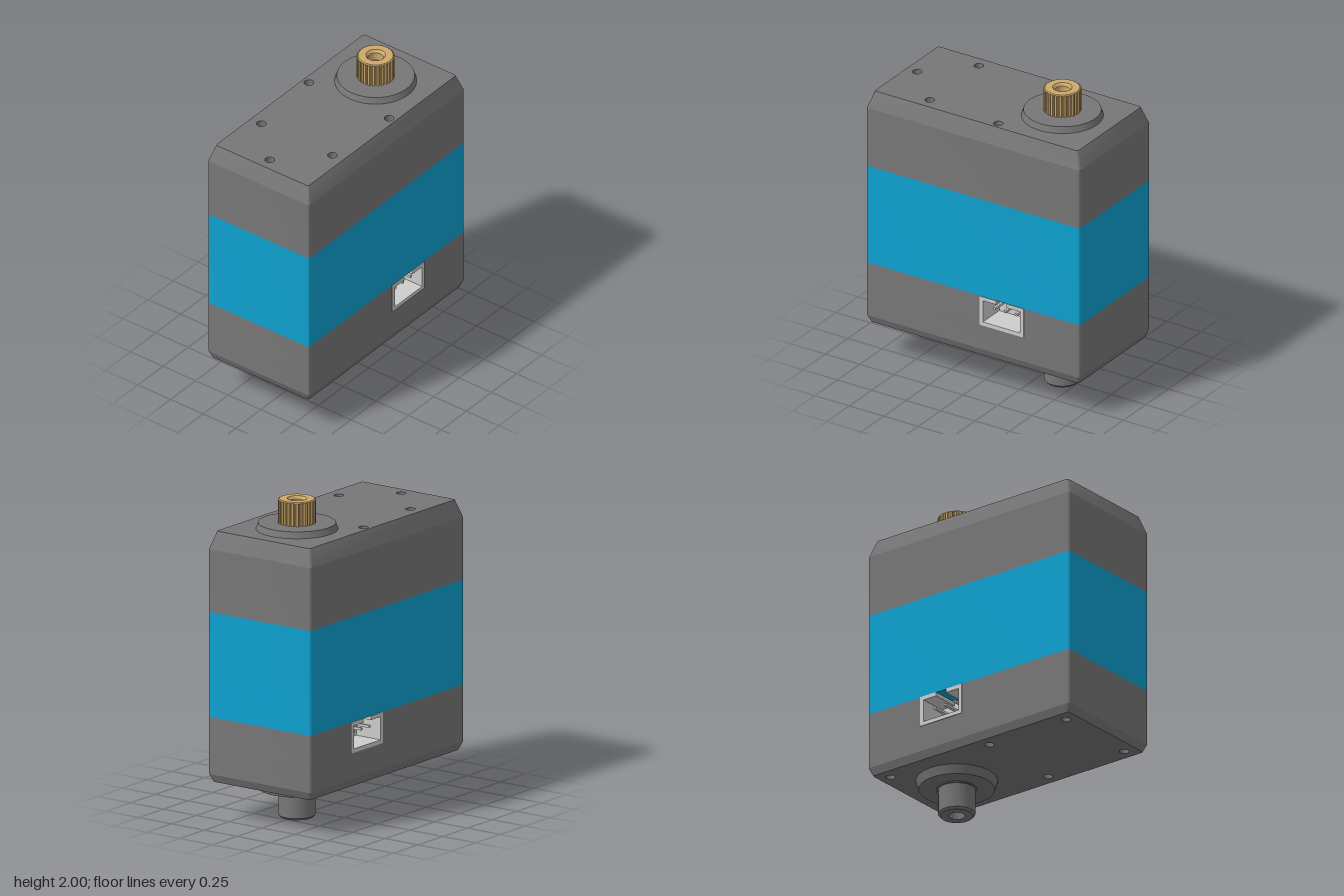
import * as THREE from 'three';
import { toCreasedNormals } from 'three/addons/utils/BufferGeometryUtils.js';

const W = 0.775, D = 0.39, R = 0.015;       // half width, half depth, corner radius
const SHAFT_X = 0.395;
const SOCKET = { x0: 0.05, x1: 0.37, y0: 0.45, y1: 0.645, depth: 0.2 };

const mat = (name, color) => {
  const m = new THREE.MeshStandardMaterial({ color });
  m.name = name;
  return m;
};

// Rounded rectangle plan, optionally with pockets for the sockets front and back
function plan(w, d, pockets = false) {
  const s = new THREE.Shape();
  const { x0, x1, depth } = SOCKET;
  const pocket = (a, b, edge, inner) => {
    s.lineTo(a, edge); s.lineTo(a, inner); s.lineTo(b, inner); s.lineTo(b, edge);
  };
  s.moveTo(-w + R, -d);
  if (pockets) pocket(x0, x1, -d, -d + depth);
  s.absarc(w - R, -d + R, R, -Math.PI / 2, 0);
  s.absarc(w - R, d - R, R, 0, Math.PI / 2);
  if (pockets) pocket(x1, x0, d, d - depth);
  s.absarc(-w + R, d - R, R, Math.PI / 2, Math.PI);
  s.absarc(-w + R, -d + R, R, Math.PI, Math.PI * 1.5);
  return s;
}

// Vertical prism between two heights
function prism(shape, y0, y1) {
  const g = new THREE.ExtrudeGeometry(shape, { depth: y1 - y0, bevelEnabled: false, curveSegments: 4 });
  g.rotateX(-Math.PI / 2).translate(0, y0, 0);
  return toCreasedNormals(g, 0.6);
}

// Sloping band between two plans
function band(lower, y0, upper, y1) {
  const a = lower.getPoints(4), b = upper.getPoints(4), pos = [];
  const put = (p, y) => pos.push(p.x, y, -p.y);
  for (let i = 0; i < a.length; i++) {
    const j = (i + 1) % a.length;
    put(a[i], y0); put(a[j], y0); put(b[j], y1);
    put(a[i], y0); put(b[j], y1); put(b[i], y1);
  }
  const g = new THREE.BufferGeometry();
  g.setAttribute('position', new THREE.Float32BufferAttribute(pos, 3));
  return toCreasedNormals(g, 0.6);
}

const lathe = (pts, segs = 48) =>
  toCreasedNormals(new THREE.LatheGeometry(pts.map(p => new THREE.Vector2(...p)), segs), 0.5);

export function createModel() {
  const model = new THREE.Group();
  model.name = 'servo';
  const grey = mat('case grey', 0x777777);
  const blue = mat('band blue', 0x0ea1d0);
  const brass = mat('brass', 0xcda96c);
  const white = mat('socket white', 0xcdcdcd);

  const add = (name, geo, material, parent = model) => {
    const m = new THREE.Mesh(geo, material);
    m.name = name;
    parent.add(m);
    return m;
  };

  // Case sections
  const full = plan(W, D);
  const topPlan = plan(W - 0.037, D - 0.035), basePlan = plan(W - 0.02, D - 0.02);
  add('lowerCase', prism(full, 0.285, SOCKET.y0), grey);
  add('socketCase', prism(plan(W, D, true), SOCKET.y0, SOCKET.y1), grey);
  add('middleBand', prism(full, 0.645, 1.305), blue);
  add('upperCase', prism(full, 1.305, 1.7), grey);
  add('topChamfer', band(full, 1.7, topPlan, 1.81), grey);
  add('bottomChamfer', band(basePlan, 0.235, full, 0.285), grey);

  // End faces with screw holes; up is +1 for the top, -1 for the bottom
  const endFace = (name, shape, y, up, holes) => {
    const r = 0.03, depth = 0.048;
    for (const [x, z] of holes) {
      const hole = new THREE.Path();
      hole.absarc(x, -up * z, r, 0, Math.PI * 2, true);
      shape.holes.push(hole);
      const wall = lathe([[0, -depth], [r, -depth], [r, 0]], 20);
      const m = add(name + 'ScrewHole', wall, grey);
      m.geometry = wall;
      m.position.set(x, y, z);
      if (up < 0) m.rotation.x = Math.PI;
      // turn the faces inwards
      const p = wall.attributes.position.array;
      for (let i = 0; i < p.length; i += 3) p[i] *= 1;
    }
    const g = new THREE.ShapeGeometry(shape, 10);
    g.rotateX(-up * Math.PI / 2).translate(0, y, 0);
    add(name, g, grey);
  };
  grey.side = THREE.DoubleSide;
  endFace('topFace', topPlan, 1.81, 1,
    [[-0.66, 0], [-0.39, -0.273], [-0.39, 0.273], [0.13, -0.308], [0.13, 0.308]]);
  endFace('bottomFace', basePlan, 0.235, -1,
    [0.68, -0.08, -0.67].flatMap(x => [[x, -0.29], [x, 0.29]]));

  // Bosses and lower pivot
  const turned = (name, pts, material) => {
    const m = add(name, lathe(pts), material);
    m.position.x = SHAFT_X;
  };
  turned('topBoss', [[0.25, 1.81], [0.237, 1.85], [0, 1.85]], grey);
  turned('bottomBoss', [[0, 0.178], [0.232, 0.178], [0.25, 0.235]], grey);
  turned('lowerPivot', [[0, 0.1], [0.05, 0.1], [0.05, 0], [0.1, 0], [0.113, 0.014],
    [0.113, 0.172], [0.125, 0.172], [0.125, 0.18]], grey);

  // Splined output shaft with a countersunk bore
  const teeth = 25, spline = new THREE.Shape();
  for (let i = 0; i < teeth; i++) {
    [[0, 0.105], [0.25, 0.105], [0.4, 0.116], [0.85, 0.116]].forEach(([t, r], k) => {
      const a = (i + t) / teeth * Math.PI * 2;
      spline[i + k ? 'lineTo' : 'moveTo'](r * Math.cos(a), r * Math.sin(a));
    });
  }
  const bore = new THREE.Path();
  bore.absarc(0, 0, 0.08, 0, Math.PI * 2, true);
  spline.holes.push(bore);
  add('outputSpline', prism(spline, 1.85, 1.994), brass).position.x = SHAFT_X;
  turned('outputShaft', [[0, 1.93], [0.047, 1.93], [0.047, 1.982], [0.06, 2], [0.106, 2],
    [0.112, 1.994]].reverse(), brass);

  // Cable sockets, front and back
  const cx = (SOCKET.x0 + SOCKET.x1) / 2, { y0, y1, depth } = SOCKET;
  const frame = new THREE.Shape([
    [-0.16, y0], [0.16, y0], [0.16, y1], [0.038, y1], [0.038, 0.62], [0.135, 0.62],
    [0.135, 0.475], [-0.135, 0.475], [-0.135, 0.62], [-0.038, 0.62], [-0.038, y1], [-0.16, y1],
  ].map(p => new THREE.Vector2(...p)));
  for (const turn of [0, Math.PI]) {
    const socket = new THREE.Group();
    socket.name = turn ? 'backSocket' : 'frontSocket';
    socket.position.x = cx;
    socket.rotation.y = turn;
    model.add(socket);
    const shell = new THREE.ExtrudeGeometry(frame, { depth: depth + 0.005, bevelEnabled: false });
    add('socketShell', shell, white, socket).position.z = D - depth;
    add('socketBack', new THREE.BoxGeometry(0.3, y1 - y0 - 0.01, 0.02), white, socket)
      .position.set(0, (y0 + y1) / 2, D - depth + 0.011);
    for (const x of [-0.078, 0, 0.078]) {
      add('pin', new THREE.BoxGeometry(0.016, 0.016, 0.15), white, socket)
        .position.set(x, 0.565, D - depth + 0.09);
    }
  }
  return model;
}
